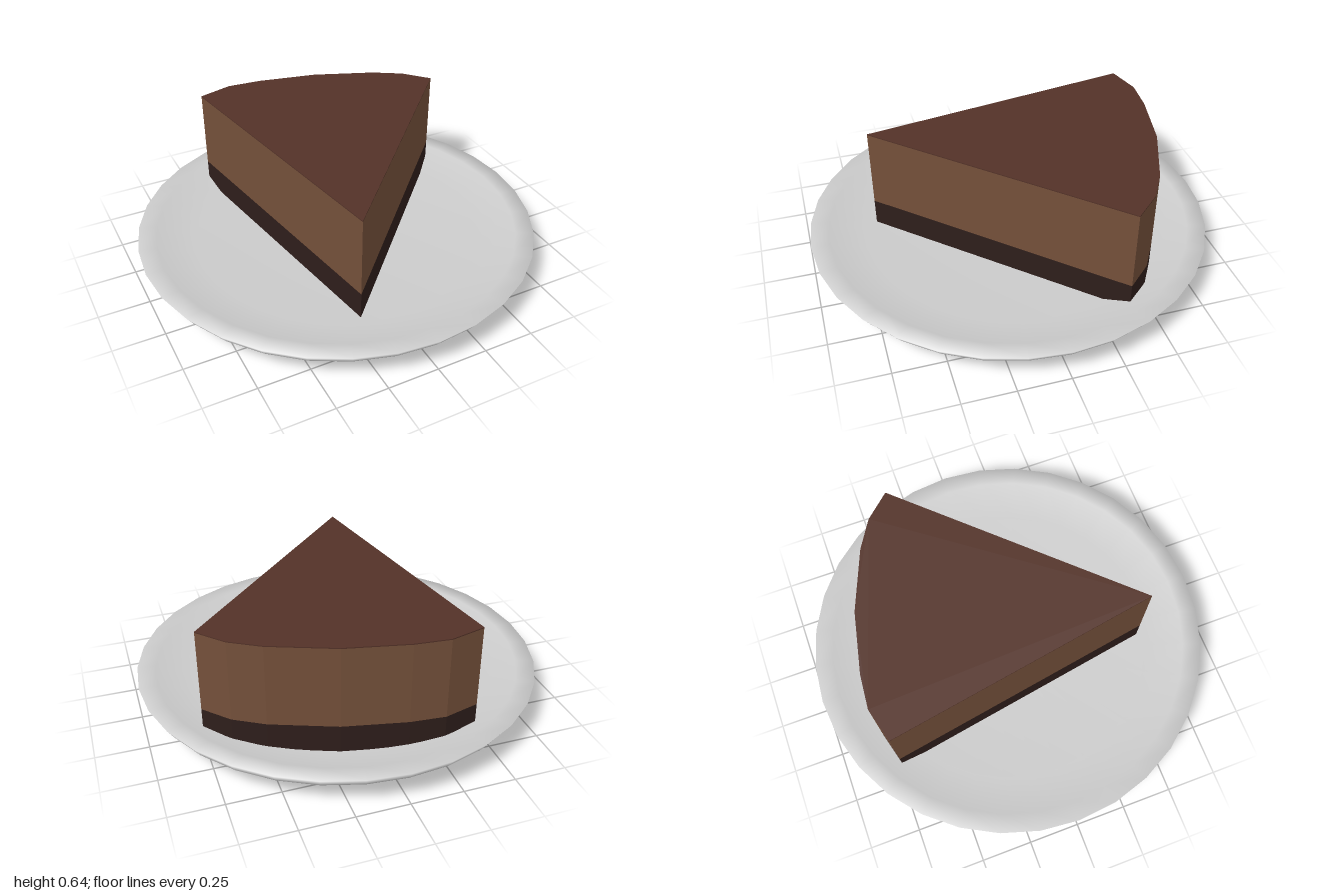
import * as THREE from 'three';

const mat = (color) => new THREE.MeshStandardMaterial({ color });

// Slice outline as [x, z]: pointed tip, then the rounded back
const OUTLINE = [
  [-0.2, 0.65], [0.76, -0.36], [0.65, -0.48], [0.51, -0.565],
  [0.21, -0.685], [-0.09, -0.75], [-0.26, -0.765], [-0.43, -0.72],
];

// One horizontal layer of the slice between two heights
function layer(name, y0, y1, color) {
  const shape = new THREE.Shape(OUTLINE.map(([x, z]) => new THREE.Vector2(x, -z)));
  const geo = new THREE.ExtrudeGeometry(shape, { depth: y1 - y0, bevelEnabled: false });
  geo.rotateX(-Math.PI / 2).translate(0, y0, 0);
  const mesh = new THREE.Mesh(geo, mat(color));
  mesh.name = name;
  return mesh;
}

// One turned surface of the plate; separate surfaces keep a sharp edge between them
function turned(name, points, material) {
  const profile = points.map(([r, y]) => new THREE.Vector2(r, y));
  const mesh = new THREE.Mesh(new THREE.LatheGeometry(profile, 32), material);
  mesh.name = name;
  return mesh;
}

export function createModel() {
  const model = new THREE.Group();
  model.name = 'cakeSliceOnPlate';

  // Plate
  const plate = new THREE.Group();
  plate.name = 'plate';
  const china = mat(0xcccccc);
  plate.add(
    turned('plateBase', [[0, 0], [0.72, 0]], china),
    turned('plateFoot', [[0.72, 0], [0.74, 0.05]], china),
    turned('plateUnderside', [[0.74, 0.05], [0.97, 0.12]], china),
    turned('plateTop', [[0.97, 0.12], [1, 0.165], [0.91, 0.163], [0.72, 0.1], [0, 0.1]], china),
  );

  // Cake slice
  const slice = new THREE.Group();
  slice.name = 'cakeSlice';
  slice.add(
    layer('crust', 0.1, 0.235, 0x2e1e1b),
    layer('filling', 0.235, 0.632, 0x74503a),
    layer('topping', 0.632, 0.637, 0x533228),
  );

  model.add(plate, slice);
  return model;
}
